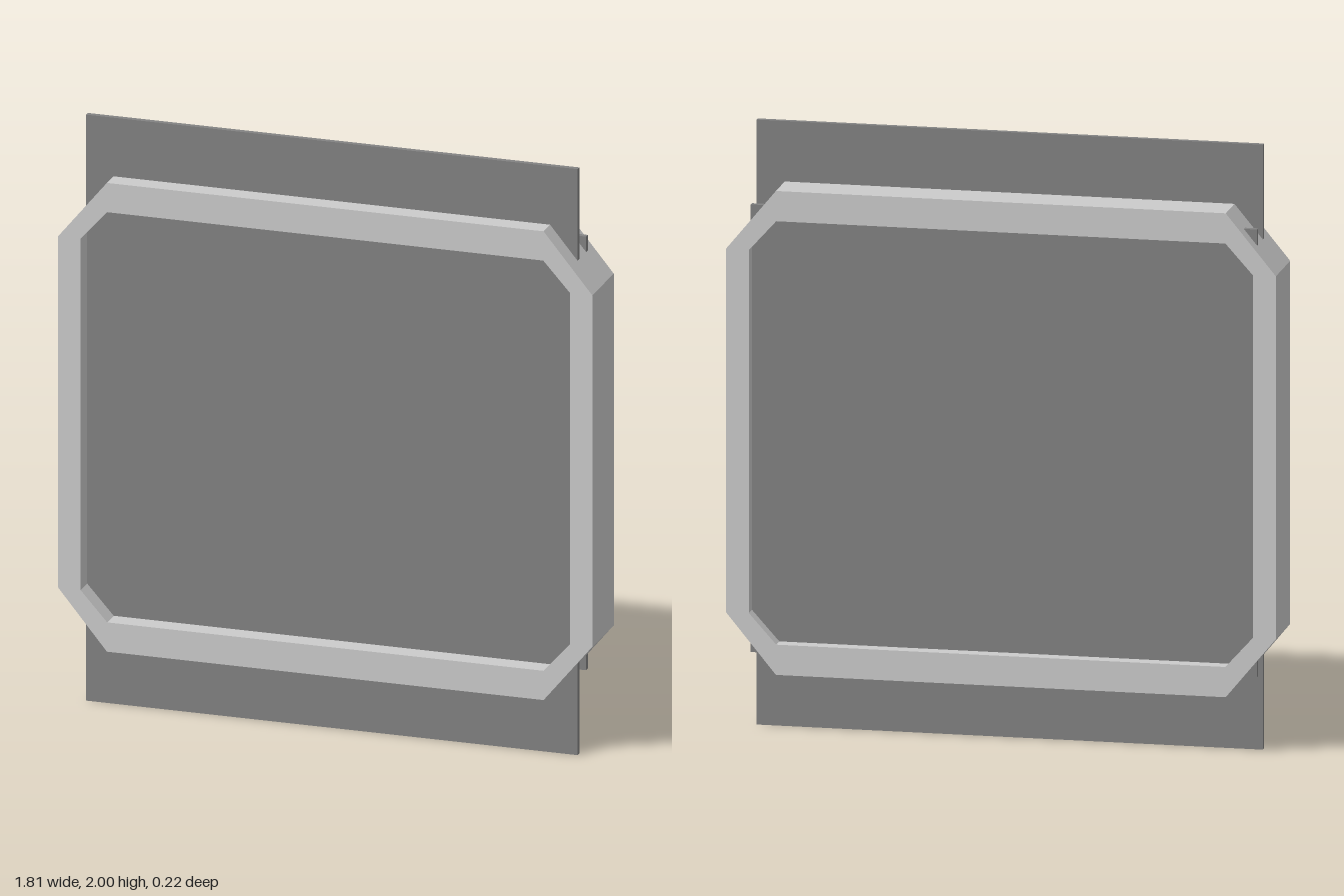
import * as THREE from 'three';

// Closed octagon: a rectangle with cut corners, centred on the origin
function octagon(Target, halfW, halfH, cutX, cutY) {
  const quarter = [[halfW, halfH - cutY], [halfW - cutX, halfH]];
  const corners = [
    ...quarter,
    ...quarter.map(([x, y]) => [-x, y]).reverse(),
    ...quarter.map(([x, y]) => [-x, -y]),
    ...quarter.map(([x, y]) => [x, -y]).reverse(),
  ];
  return new Target(corners.map(([x, y]) => new THREE.Vector2(x, y)));
}

export function createModel() {
  const group = new THREE.Group();
  const frameMaterial = new THREE.MeshStandardMaterial({ color: 0xcccccc });
  const panelMaterial = new THREE.MeshStandardMaterial({ color: 0x828282 });

  function add(name, geometry, material, z) {
    const mesh = new THREE.Mesh(geometry, material);
    mesh.name = name;
    mesh.position.set(0, 1, z);
    group.add(mesh);
  }

  // Octagonal frame with a matching opening
  const depth = 0.22;
  const outline = octagon(THREE.Shape, 0.905, 0.8, 0.165, 0.2);
  outline.holes.push(octagon(THREE.Path, 0.829, 0.7, 0.09, 0.1));
  const frame = new THREE.ExtrudeGeometry(outline, { depth, bevelEnabled: false });
  frame.translate(0, 0, -depth / 2);
  add('frame', frame, frameMaterial, 0);

  // Tall front panel runs past the frame at top and bottom
  add('frontPanel', new THREE.BoxGeometry(1.666, 2, 0.018), panelMaterial, 0.034);

  // Shorter back panel, its corners poking through the frame's cut corners
  add('backPanel', new THREE.BoxGeometry(1.666, 1.48, 0.018), panelMaterial, -0.054);

  return group;
}
